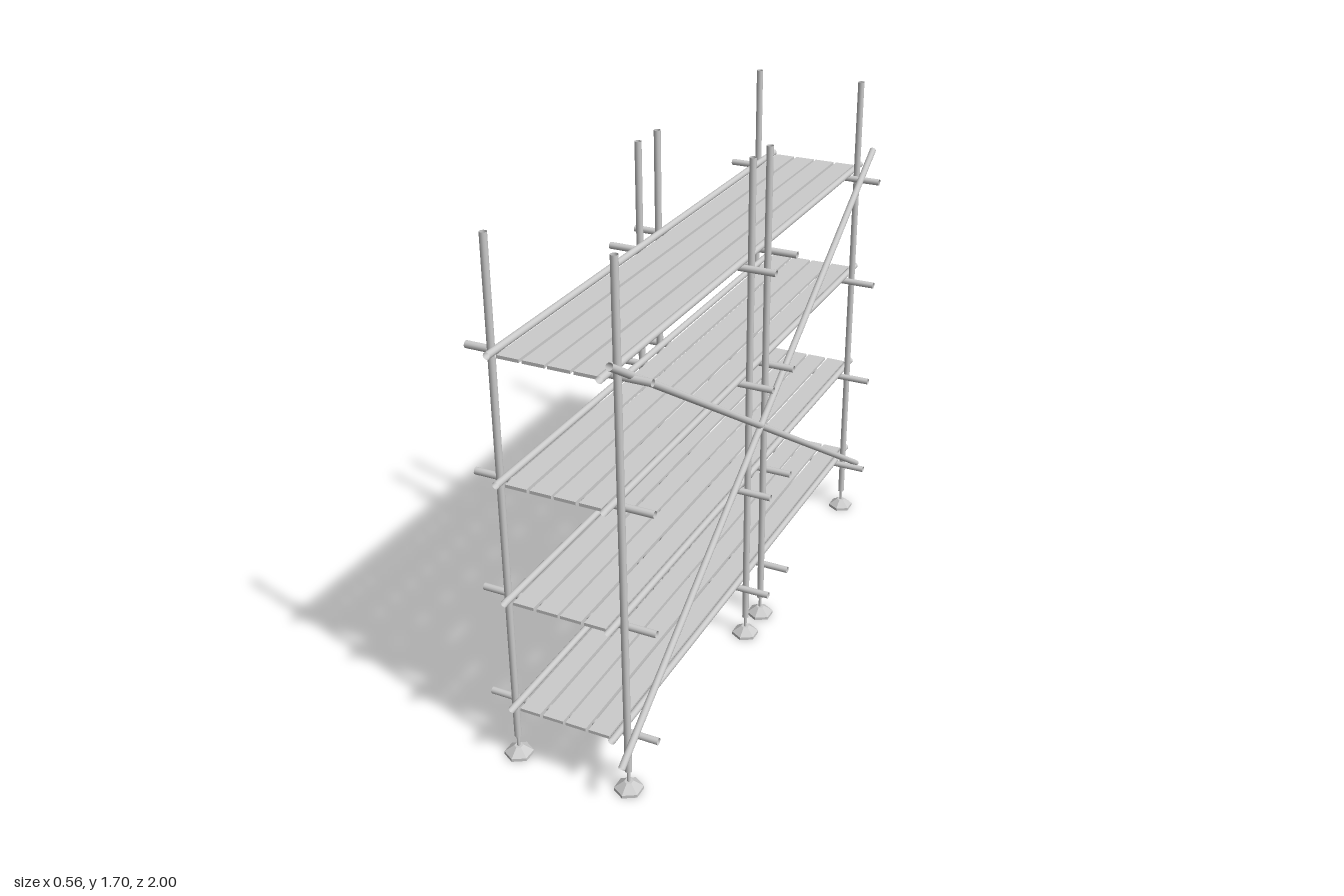
import * as THREE from 'three';

const R = 0.011; // pipe radius

export function createModel() {
  const model = new THREE.Group();
  const pipeMat = new THREE.MeshStandardMaterial({ color: 0xcccccc, side: THREE.DoubleSide });
  const flatMat = new THREE.MeshStandardMaterial({ color: 0xcccccc, flatShading: true });

  function add(geometry, material, name, parent = model) {
    const mesh = new THREE.Mesh(geometry, material);
    mesh.name = name;
    parent.add(mesh);
    return mesh;
  }

  // Hollow, open-ended pipe between two points
  function pipe(name, from, to, radius = R, parent = model) {
    const a = new THREE.Vector3(...from), b = new THREE.Vector3(...to);
    const dir = b.clone().sub(a);
    const mesh = add(new THREE.CylinderGeometry(radius, radius, dir.length(), 12, 1, true), pipeMat, name, parent);
    mesh.position.copy(a).add(b).multiplyScalar(0.5);
    mesh.quaternion.setFromUnitVectors(new THREE.Vector3(0, 1, 0), dir.normalize());
  }

  // Uprights, each on a screw jack and hexagonal foot
  for (const x of [-0.19, 0.19]) {
    for (const z of [0.905, 0.04, -0.09, -0.905]) {
      const upright = new THREE.Group();
      upright.name = 'upright';
      upright.position.set(x, 0, z);
      model.add(upright);
      pipe('post', [0, 0.07, 0], [0, 1.7, 0], R, upright);
      pipe('jack', [0, 0.025, 0], [0, 0.1, 0], 0.005, upright);
      add(new THREE.CylinderGeometry(0.045, 0.045, 0.01, 6), flatMat, 'footPlate', upright).position.y = 0.005;
      add(new THREE.CylinderGeometry(0.014, 0.045, 0.022, 6), flatMat, 'footCone', upright).position.y = 0.021;
    }
  }

  // Four decks: cross pipes, long pipes and planks
  for (const y of [0.194, 0.573, 0.963, 1.355]) {
    const deck = new THREE.Group();
    deck.name = 'deck';
    deck.position.y = y;
    model.add(deck);
    for (const z of [0.882, 0.058, -0.112, -0.89]) {
      pipe('crossPipe', [-0.285, 0, z], [0.28, 0, z], R, deck);
    }
    for (const x of [-0.168, 0.168]) {
      pipe('longPipe', [x, 0.021, -1], [x, 0.021, 0.962], R, deck);
    }
    for (const x of [-0.115, -0.037, 0.039, 0.117]) {
      add(new THREE.BoxGeometry(0.068, 0.01, 1.925), flatMat, 'plank', deck).position.set(x, 0.016, -0.018);
    }
  }

  // Crossed diagonal braces on the left side
  for (const s of [-1, 1]) {
    pipe('brace', [0.216, 0.155, -0.994 * s], [0.216, 1.437, 0.994 * s]);
  }

  return model;
}
